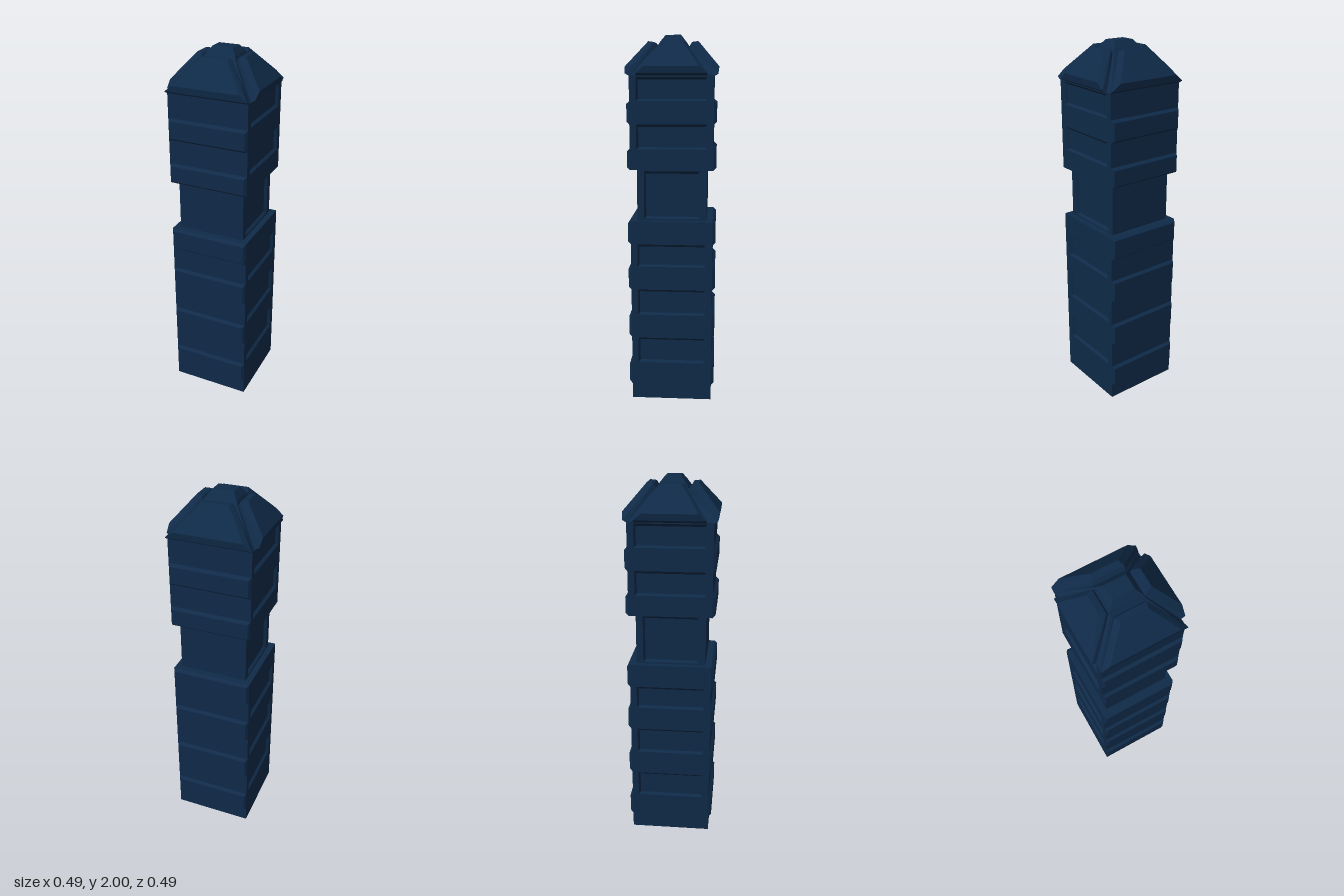
import * as THREE from 'three';

const material = new THREE.MeshStandardMaterial({ color: 0x0f2a48, flatShading: true });

// Skin four-cornered loops (anticlockwise seen from +z) and close the last one
function loft(loops) {
  const pos = [];
  const quad = (a, b, c, d) => pos.push(...a, ...b, ...c, ...a, ...c, ...d);
  for (let i = 0; i < loops.length - 1; i++) {
    for (let j = 0; j < 4; j++) {
      const k = (j + 1) % 4;
      quad(loops[i][j], loops[i][k], loops[i + 1][k], loops[i + 1][j]);
    }
  }
  quad(...loops[loops.length - 1]);
  const geo = new THREE.BufferGeometry();
  geo.setAttribute('position', new THREE.Float32BufferAttribute(pos, 3));
  geo.computeVertexNormals();
  return geo;
}

const rect = (w, y0, y1, z) => [[-w, y0, z], [w, y0, z], [w, y1, z], [-w, y1, z]];

function add(parent, name, geo, turn = 0) {
  const mesh = new THREE.Mesh(geo, material);
  mesh.name = name;
  mesh.rotation.y = turn;
  parent.add(mesh);
  return mesh;
}

// Square shaft section with sunken panels on its left and right sides
function section(name, y0, y1, half, panelHalf, panels) {
  const group = new THREE.Group();
  group.name = name;
  const depth = 0.02;
  const core = new THREE.BoxGeometry(2 * (half - depth), y1 - y0, 2 * half);
  core.translate(0, (y0 + y1) / 2, 0);
  add(group, name + 'Core', core);

  const shape = new THREE.Shape(rect(half, y0, y1, 0).map(p => new THREE.Vector2(p[0], p[1])));
  for (const [a, b] of panels) {
    shape.holes.push(new THREE.Path(rect(panelHalf, a, b, 0).map(p => new THREE.Vector2(p[0], p[1]))));
  }
  const wall = new THREE.ExtrudeGeometry(shape, { depth, bevelEnabled: false });
  wall.translate(0, 0, half - depth);
  for (const s of [1, -1]) {
    add(group, 'sideWall', wall, s * Math.PI / 2);
    for (const [a, b] of panels) {
      const pan = loft([rect(panelHalf, a, b, half), rect(panelHalf - 0.01, a + 0.01, b - 0.014, half - 0.015)]);
      add(group, 'sunkenPanel', pan, s * Math.PI / 2);
    }
  }
  return group;
}

// Raised sloping roof slab: outer half width, inner half width, face half widths
function roofSlab(w0, w1, f0, f1) {
  const loop = (a, ya, za, b, yb, zb) => [[-a, ya, za], [a, ya, za], [b, yb, zb], [-b, yb, zb]];
  return loft([
    loop(w0, 1.785, 0.215, w1, 1.93, 0.08),
    loop(w0, 1.8, 0.24, w1, 1.962, 0.1),
    loop(f0, 1.835, 0.245, f1, 1.967, 0.133),
  ]);
}

export function createModel() {
  const model = new THREE.Group();
  model.name = 'tower';

  // Shaft
  model.add(
    section('lowerShaft', 0, 1.022, 0.22, 0.185, [[0.215, 0.36], [0.495, 0.64], [0.77, 0.895]]),
    section('neck', 1.022, 1.3, 0.187, 0.15, [[1.032, 1.29]]),
    section('upperShaft', 1.3, 1.79, 0.22, 0.185, [[1.41, 1.54], [1.66, 1.782]]),
  );

  // Bevelled bands on the front and back
  const bands = [[0.085, 0.213], [0.365, 0.492], [0.64, 0.768], [0.895, 1.022], [1.3, 1.412], [1.54, 1.658]];
  for (const [a, b] of bands) {
    const geo = loft([rect(0.22, a, b, 0.22), rect(0.209, a + 0.013, b - 0.013, 0.236)]);
    add(model, 'frontBand', geo);
    add(model, 'backBand', geo, Math.PI);
  }

  // Roof core and stepped top cap
  const level = (x, z, y) => rect(x, -z, z, y);
  const core = loft([
    level(0.22, 0.22, 1.785), level(0.09, 0.08, 1.945),
    level(0.08, 0.065, 1.968), level(0.055, 0.04, 2),
  ]);
  core.rotateX(-Math.PI / 2);
  add(model, 'roofCore', core);

  // Four roof slabs with open grooves along the hips
  const wide = roofSlab(0.224, 0.08, 0.18, 0.067);
  const narrow = roofSlab(0.184, 0.065, 0.142, 0.05);
  for (let i = 0; i < 4; i++) add(model, 'roofSlab', i % 2 ? narrow : wide, i * Math.PI / 2);

  return model;
}
